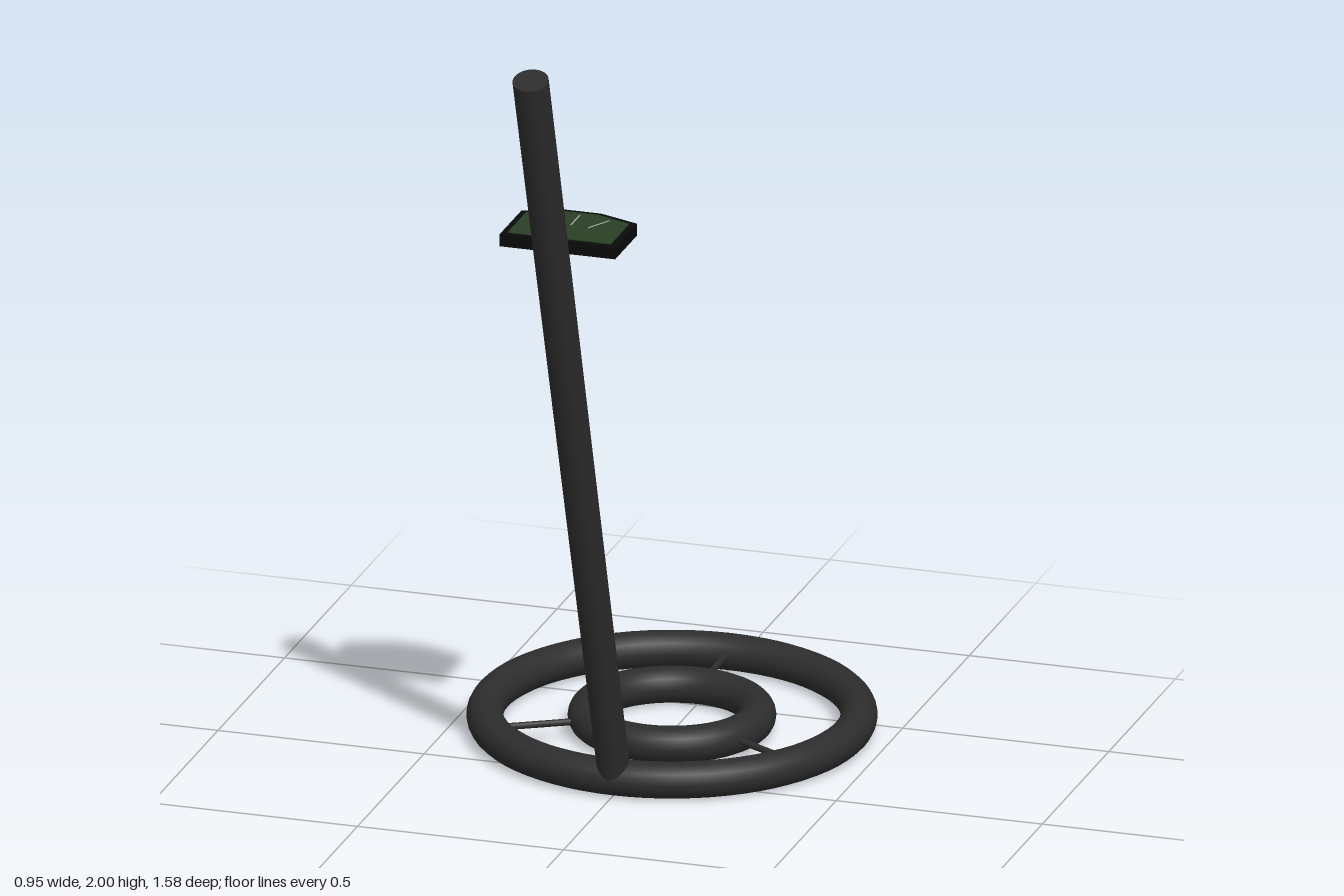
import * as THREE from 'three';

const RING_Z = -0.315, RING_Y = 0.044, TUBE = 0.043, RING_R = 0.432;

const mat = (color) => new THREE.MeshStandardMaterial({ color });
const rubber = mat(0x2d2d2d), black = mat(0x0a0a0a), green = mat(0x2a4025), pale = mat(0xaaaaaa);

function add(parent, name, geometry, material) {
  const mesh = new THREE.Mesh(geometry, material);
  mesh.name = name;
  parent.add(mesh);
  return mesh;
}

// Rod between two points, with a radius at each end
function rod(parent, name, a, b, ra, rb, sides) {
  const dir = b.clone().sub(a);
  const mesh = add(parent, name, new THREE.CylinderGeometry(rb, ra, dir.length(), sides), rubber);
  mesh.position.copy(a).add(b).multiplyScalar(0.5);
  mesh.quaternion.setFromUnitVectors(new THREE.Vector3(0, 1, 0), dir.normalize());
  return mesh;
}

// Flat slab in the xz plane, from an outline of [x, z] points, between two heights
function slab(parent, name, outline, y0, y1, material) {
  const shape = new THREE.Shape(outline.map(([x, z]) => new THREE.Vector2(x, -z)));
  const geometry = new THREE.ExtrudeGeometry(shape, { depth: y1 - y0, bevelEnabled: false });
  geometry.rotateX(-Math.PI / 2).translate(0, y0, 0);
  return add(parent, name, geometry, material);
}

export function createModel() {
  const model = new THREE.Group();
  model.name = 'metalDetector';

  // Search coil: two concentric rings joined by three spokes
  const coil = new THREE.Group();
  coil.name = 'searchCoil';
  coil.position.set(0, RING_Y, RING_Z);
  model.add(coil);
  for (const [name, r] of [['outerRing', RING_R], ['innerRing', 0.198]]) {
    add(coil, name, new THREE.TorusGeometry(r, TUBE, 20, 72).rotateX(Math.PI / 2), rubber);
  }
  for (let i = 0; i < 3; i++) {
    const a = -Math.PI / 2 + (i * Math.PI * 2) / 3;
    const at = (r) => new THREE.Vector3(Math.cos(a) * r, 0, Math.sin(a) * r);
    rod(coil, 'spoke', at(0.2), at(RING_R), 0.008, 0.008, 10);
  }

  // Slanted, slightly tapered shaft rising from the front of the outer ring
  rod(model, 'shaft', new THREE.Vector3(0, RING_Y, RING_Z + RING_R),
    new THREE.Vector3(0, 1.987, 0.748), 0.038, 0.042, 32);

  // Control panel: dark housing, green dial face and scale marks
  const panel = new THREE.Group();
  panel.name = 'controlPanel';
  model.add(panel);
  slab(panel, 'housing', [[-0.14, 0.546], [0.14, 0.546], [0.14, 0.383], [0.042, 0.346],
    [-0.042, 0.346], [-0.14, 0.383]], 1.49, 1.52, black);
  slab(panel, 'dialFace', [[-0.125, 0.532], [0.125, 0.532], [0.125, 0.394], [0.039, 0.36],
    [-0.039, 0.36], [-0.125, 0.394]], 1.515, 1.522, green);
  for (const s of [-1, 0, 1]) {
    const mark = add(panel, 'scaleMark', new THREE.BoxGeometry(0.003, 0.002, 0.066), pale);
    mark.position.set(s * 0.06, 1.5225, s ? 0.421 : 0.412);
    mark.rotation.y = -s * -0.0 + s * Math.PI + (s ? -s * 0.5 : 0);
  }
  return model;
}
